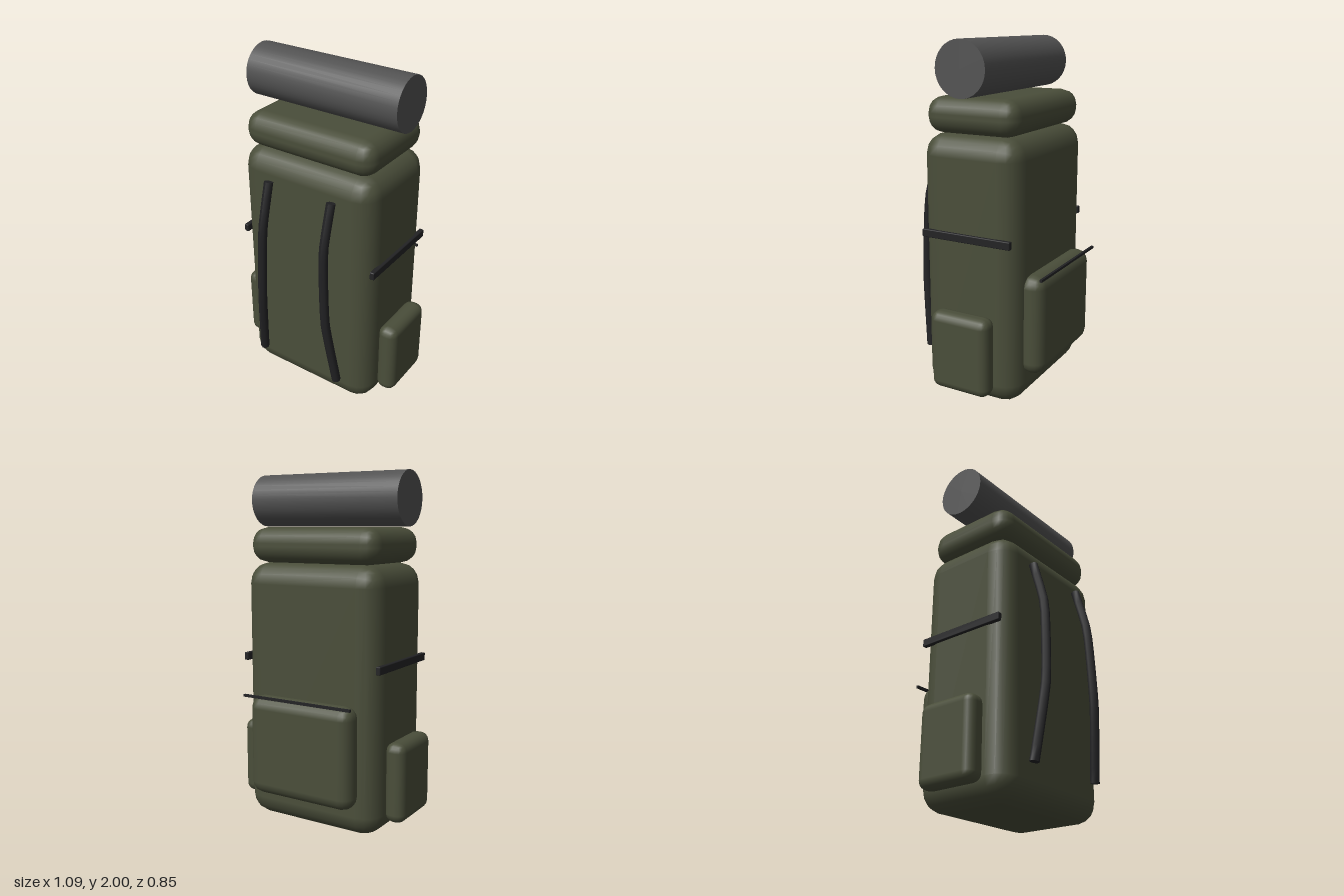
import * as THREE from 'three';
import { RoundedBoxGeometry } from 'three/addons/geometries/RoundedBoxGeometry.js';

const Z = -0.008; // depth centre of the pack

export function createModel() {
  const group = new THREE.Group();
  const canvas = new THREE.MeshStandardMaterial({ name: 'olive canvas', color: 0x4a4e3a });
  const foam = new THREE.MeshStandardMaterial({ name: 'grey foam', color: 0x525252 });
  const webbing = new THREE.MeshStandardMaterial({ name: 'black webbing', color: 0x222224 });

  const add = (name, geometry, material, x = 0, y = 0, z = 0) => {
    const mesh = new THREE.Mesh(geometry, material);
    mesh.name = name;
    mesh.position.set(x, y, z);
    group.add(mesh);
    return mesh;
  };
  const padded = (w, h, d, r) => new RoundedBoxGeometry(w, h, d, 2, r);

  // Capped strap: a cylinder bent along a curve that runs upward
  const strap = (points, radius) => {
    const curve = new THREE.CatmullRomCurve3(points, false, 'catmullrom', 0.25);
    const geometry = new THREE.CylinderGeometry(radius, radius, 1, 8, 14);
    const pos = geometry.attributes.position;
    const xAxis = new THREE.Vector3(1, 0, 0);
    for (let i = 0; i < pos.count; i++) {
      const t = THREE.MathUtils.clamp(pos.getY(i) + 0.5, 0, 1);
      const tangent = curve.getTangentAt(t);
      const b = new THREE.Vector3().crossVectors(xAxis, tangent).normalize();
      const n = new THREE.Vector3().crossVectors(tangent, b);
      const p = curve.getPointAt(t).addScaledVector(n, pos.getX(i)).addScaledVector(b, pos.getZ(i));
      pos.setXYZ(i, p.x, p.y, p.z);
    }
    geometry.computeVertexNormals();
    return geometry;
  };

  // Main bag and lid
  add('mainBag', padded(0.868, 1.5, 0.604, 0.12), canvas, 0, 0.75, Z);
  add('lid', padded(0.83, 0.2, 0.564, 0.09), canvas, 0, 1.597, Z);

  // Sleeping mat rolled up on top
  const roll = add('matRoll', new THREE.CylinderGeometry(0.15, 0.15, 0.95, 32), foam, 0, 1.85, Z);
  roll.rotation.z = Math.PI / 2;

  // Back pocket with its zip
  add('backPocket', padded(0.67, 0.575, 0.15, 0.07), canvas, 0, 0.4625, -0.338);
  add('backZip', new THREE.BoxGeometry(0.7, 0.014, 0.014), webbing, 0, 0.753, -0.417);

  for (const [side, s] of [['left', 1], ['right', -1]]) {
    add(side + 'Pocket', padded(0.12, 0.455, 0.363, 0.05), canvas, s * 0.485, 0.307, Z);
    add(side + 'CompressionStrap', new RoundedBoxGeometry(0.028, 0.045, 0.55, 1, 0.005),
      webbing, s * 0.438, 0.95, Z);
    add(side + 'ShoulderStrap', strap([
      new THREE.Vector3(s * 0.27, 0.19, 0.353),
      new THREE.Vector3(s * 0.225, 0.62, 0.4),
      new THREE.Vector3(s * 0.207, 1.07, 0.388),
      new THREE.Vector3(s * 0.207, 1.35, 0.316),
    ], 0.026), webbing);
  }
  return group;
}
